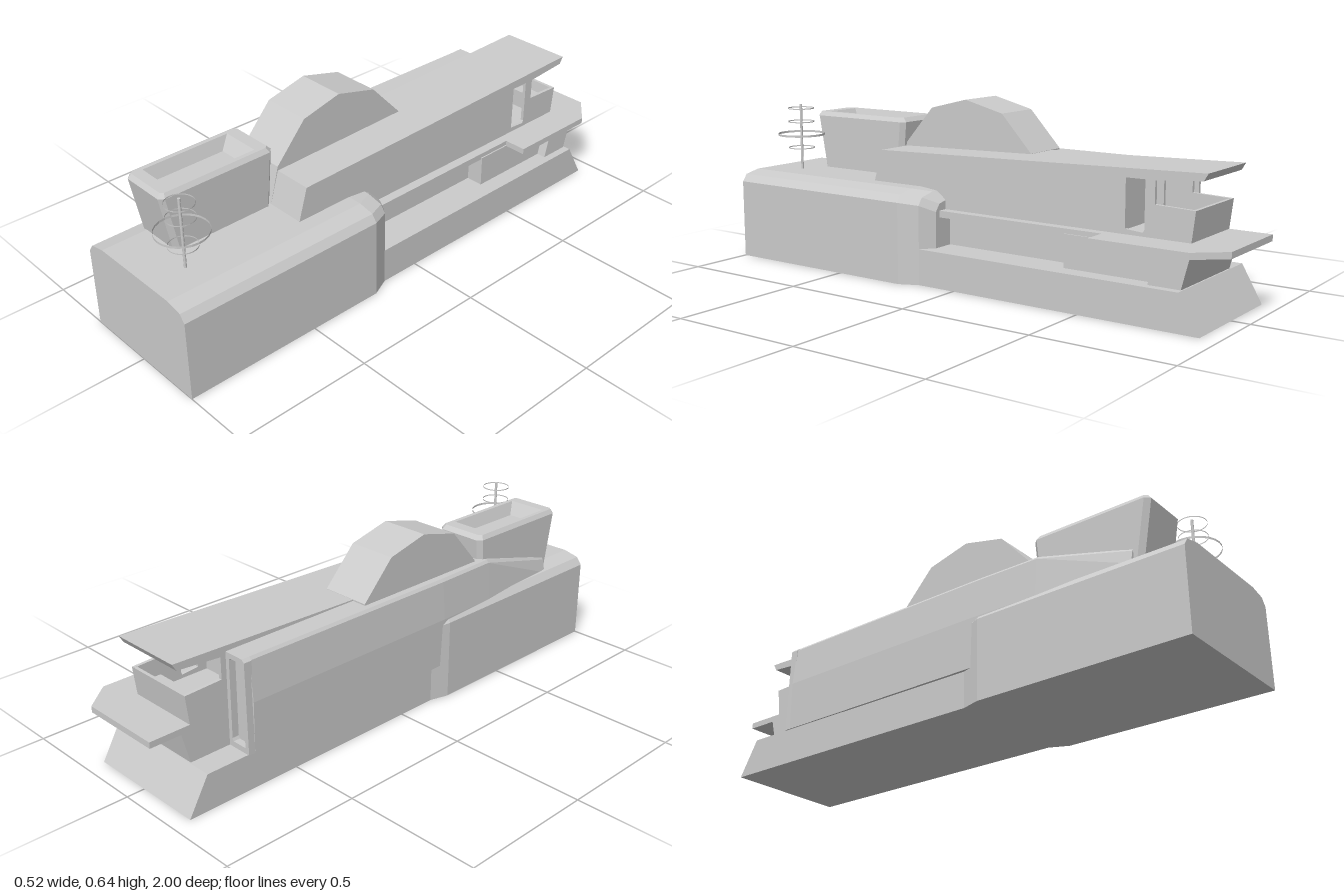
import * as THREE from 'three';

const mat = new THREE.MeshStandardMaterial({ color: 0xcccccc, flatShading: true, side: THREE.DoubleSide });

export function createModel() {
  const root = new THREE.Group();
  const add = (name, geo) => {
    const m = new THREE.Mesh(geo, mat);
    m.name = name;
    root.add(m);
    return m;
  };
  const outline = (pts) => new THREE.Shape(pts.map(([a, b]) => new THREE.Vector2(a, b)));
  const extrude = (pts, depth, hole) => {
    const s = outline(pts);
    if (hole) s.holes.push(outline(hole));
    return new THREE.ExtrudeGeometry(s, { depth, bevelEnabled: false });
  };
  // side profile of [z, y] points swept from x0 to x1
  const prism = (name, pts, x0, x1, hole) =>
    add(name, extrude(pts, x1 - x0, hole).rotateY(-Math.PI / 2).translate(x1, 0, 0));
  // plan of [x, z] points swept from y0 to y1
  const plate = (name, pts, y0, y1, hole) =>
    add(name, extrude(pts, y1 - y0, hole).rotateX(Math.PI / 2).translate(0, y1, 0));
  const box = (name, x0, x1, y0, y1, z0, z1) =>
    add(name, new THREE.BoxGeometry(x1 - x0, y1 - y0, z1 - z0)
      .translate((x0 + x1) / 2, (y0 + y1) / 2, (z0 + z1) / 2));
  // skin over matching rings of [x, y, z] points, closed at both ends
  const loft = (name, rings) => {
    const v = [];
    const n = rings[0].length;
    const tri = (a, b, c) => v.push(...a, ...b, ...c);
    for (let r = 0; r < rings.length - 1; r++) {
      for (let i = 0; i < n; i++) {
        const j = (i + 1) % n, a = rings[r], b = rings[r + 1];
        tri(a[i], a[j], b[j]);
        tri(a[i], b[j], b[i]);
      }
    }
    const first = rings[0], last = rings[rings.length - 1];
    for (let i = 1; i < n - 1; i++) {
      tri(first[0], first[i + 1], first[i]);
      tri(last[0], last[i], last[i + 1]);
    }
    const g = new THREE.BufferGeometry();
    g.setAttribute('position', new THREE.Float32BufferAttribute(v, 3));
    g.computeVertexNormals();
    return add(name, g);
  };

  // wide forward hull, bevelled along the top and narrowing at its rear
  const hullRing = (z, l, r, top) => [
    [-l, 0, z], [r, 0, z], [r, top - 0.04, z], [r - 0.02, top - 0.013, z], [r - 0.08, top, z],
    [-l + 0.08, top, z], [-l + 0.02, top - 0.013, z], [-l, top - 0.04, z],
  ];
  loft('forwardHull', [
    hullRing(0.15, 0.24, 0.228, 0.325),
    hullRing(0.22, 0.26, 0.26, 0.333),
    hullRing(1, 0.26, 0.26, 0.333),
  ]);
  loft('forwardHullShoulder', [
    [0.11, 0.24, 0.18, 0.3], [0.15, 0.24, 0.228, 0.325],
  ].map(([z, l, r, t]) => [
    [-l, 0.13, z], [r, 0.13, z], [r, t - 0.04, z], [r - 0.02, t - 0.013, z],
    [r - 0.08, t, z], [-l + 0.08, t, z], [-l, t - 0.04, z],
  ]));

  // low aft hull with raked stern
  prism('aftHull', [[0.2, 0], [0.2, 0.13], [-0.86, 0.13], [-0.935, 0]], -0.24, 0.228);

  // cabins between the hull and the aft deck
  box('recessedCabin', -0.15, 0.1, 0.13, 0.25, -0.42, 0.15);
  prism('sideCabin', [[-0.41, 0.13], [-0.41, 0.245], [-0.77, 0.245], [-0.74, 0.13]], -0.15, 0.165);
  prism('sternCabin', [[-0.74, 0.13], [-0.77, 0.245], [-0.885, 0.245], [-0.855, 0.13]], -0.15, 0.2);
  box('sideLedge', -0.15, 0.16, 0.238, 0.262, -0.56, 0.13);
  plate('aftDeck', [[-0.15, -0.55], [0.245, -0.55], [0.245, -0.9], [0.16, -1], [-0.15, -1]], 0.24, 0.262);

  // long deckhouse
  prism('deckhouse', [[0.44, 0.333], [0.405, 0.45], [-0.58, 0.475], [-0.58, 0.25], [0.44, 0.25]], -0.15, 0.125);
  prism('roof', [[0.405, 0.45], [-0.15, 0.464], [-0.9, 0.485], [-0.885, 0.46], [-0.72, 0.447], [0.3, 0.44]], -0.15, 0.125);

  // bridge: side walls with windows and an open parapet behind them
  const win = [[-0.615, 0.28], [-0.68, 0.275], [-0.685, 0.285], [-0.685, 0.455], [-0.675, 0.465], [-0.62, 0.46], [-0.615, 0.45]];
  for (const x of [-0.15, 0.113]) {
    prism('bridgeSide', [
      [-0.57, 0.25], [-0.57, 0.472], [-0.72, 0.476], [-0.72, 0.37],
      [-0.862, 0.365], [-0.848, 0.25],
    ], x, x + 0.012, win);
  }
  prism('parapetBack', [[-0.848, 0.25], [-0.862, 0.365], [-0.85, 0.365], [-0.836, 0.25]], -0.15, 0.125);
  box('console', -0.1, 0.075, 0.262, 0.33, -0.836, -0.79);

  // tall side wall leaning inwards and sinking into the forward deck
  const wallRing = (z, x, top, inner = -0.15) => [
    [x, 0.13, z], [inner, 0.13, z], [inner, top, z],
    [x + 0.018, top, z], [x + 0.01, top - 0.01, z], [x - 0.002, 0.31, z],
  ];
  loft('sideWall', [
    wallRing(-0.675, -0.245, 0.46), wallRing(0.2, -0.25, 0.46),
    wallRing(0.45, -0.245, 0.46), wallRing(0.8, -0.23, 0.37),
  ]);
  const frame = extrude(
    [[-0.245, 0.13], [-0.15, 0.13], [-0.15, 0.46], [-0.228, 0.46], [-0.238, 0.45]], 0.03,
    [[-0.228, 0.15], [-0.17, 0.15], [-0.165, 0.16], [-0.165, 0.435], [-0.172, 0.443], [-0.222, 0.443], [-0.227, 0.435]]);
  add('sideWallEndFrame', frame.translate(0, 0, -0.7));

  // faceted hump on the roof
  prism('roofHump', [
    [0.44, 0.333], [0.405, 0.465], [0.285, 0.6], [0.13, 0.638], [-0.03, 0.598], [-0.155, 0.465], [-0.155, 0.333],
  ], -0.207, -0.022);

  // funnel with cut corners and a sunken top
  const funnelRing = (y, x0, x1, z0, z1, c) => [
    [x0 + c, y, z1], [x1 - c, y, z1], [x1, y, z1 - c], [x1, y, z0 + c],
    [x1 - c, y, z0], [x0 + c, y, z0], [x0, y, z0 + c], [x0, y, z1 - c],
  ];
  loft('funnel', [
    funnelRing(0.32, -0.215, -0.018, 0.44, 0.828, 0.017),
    funnelRing(0.535, -0.215, -0.018, 0.42, 0.867, 0.017),
    funnelRing(0.551, -0.205, -0.029, 0.435, 0.855, 0.01),
    funnelRing(0.551, -0.19, -0.045, 0.48, 0.815, 0.001),
    funnelRing(0.505, -0.172, -0.063, 0.515, 0.785, 0.001),
  ]);

  // mast with open ring aerials
  add('mast', new THREE.CylinderGeometry(0.005, 0.005, 0.257, 10).translate(0.075, 0.4585, 0.86));
  for (const [y, r, h] of [[0.417, 0.05, 0.004], [0.47, 0.09, 0.008], [0.519, 0.05, 0.004], [0.571, 0.05, 0.004]]) {
    add('mastRing', new THREE.CylinderGeometry(r, r, h, 24, 1, true).translate(0.075, y, 0.86));
  }

  return root;
}
